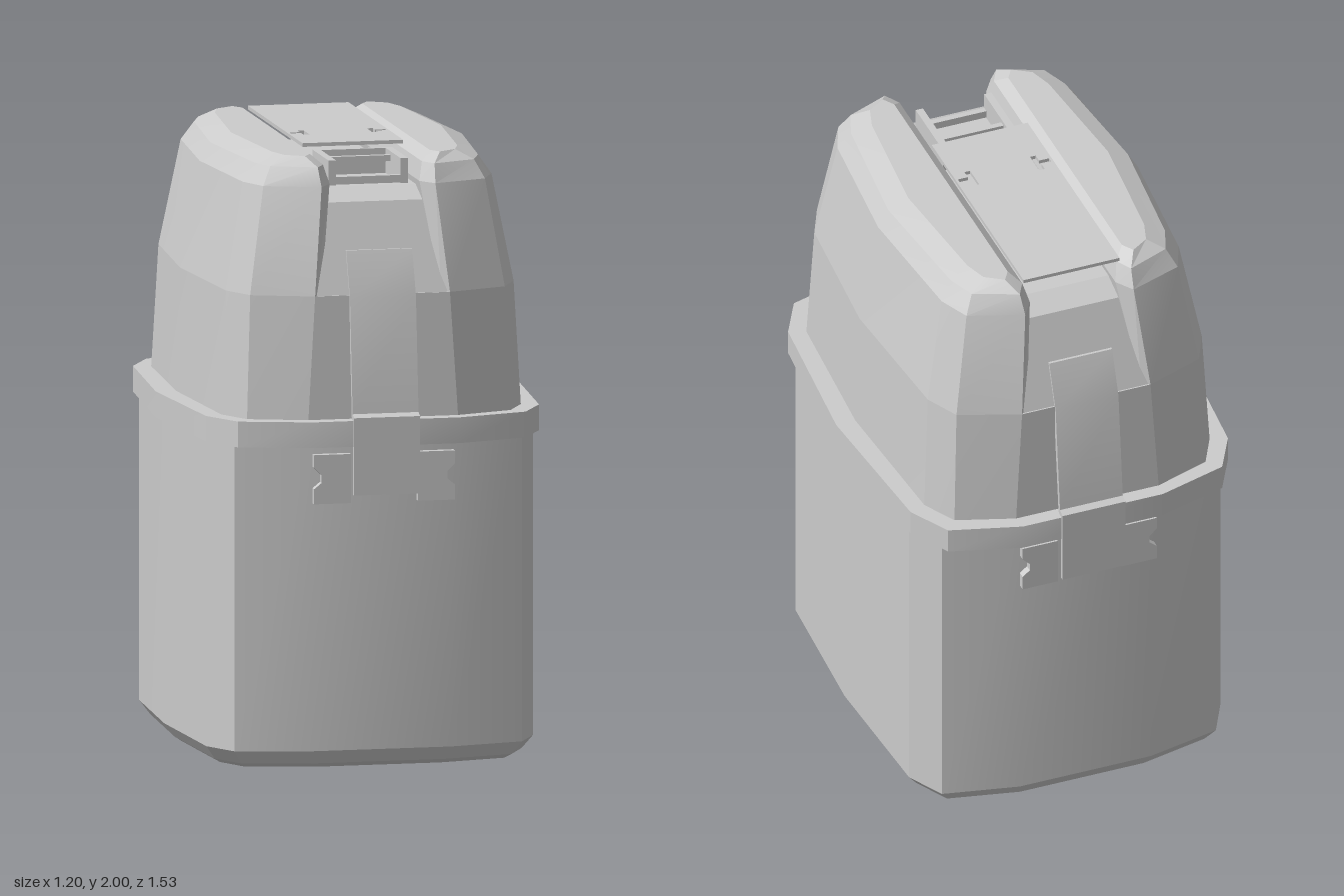
import * as THREE from 'three';
import { toCreasedNormals } from 'three/addons/utils/BufferGeometryUtils.js';

const material = new THREE.MeshStandardMaterial({ color: 0xcccccc, side: THREE.DoubleSide });

function part(name, geometry, parent) {
  const mesh = new THREE.Mesh(toCreasedNormals(geometry, 0.3), material);
  mesh.name = name;
  parent.add(mesh);
  return mesh;
}

// Closed solid through horizontal sections [y, [[x, z], ...]], counter-clockwise from above
function loft(sections) {
  const n = sections[0][1].length;
  const pos = [];
  const index = [];
  for (const [y, pts] of sections) for (const [x, z] of pts) pos.push(x, y, z);
  for (let s = 0; s < sections.length - 1; s++) {
    for (let i = 0; i < n; i++) {
      const a = s * n + i, b = s * n + (i + 1) % n;
      index.push(a, b, b + n, a, b + n, a + n);
    }
  }
  const cap = (s, top) => {
    const [y, pts] = sections[s];
    const c = pos.length / 3;
    const mean = k => pts.reduce((t, p) => t + p[k], 0) / n;
    pos.push(mean(0), y, mean(1));
    for (let i = 0; i < n; i++) {
      const a = s * n + i, b = s * n + (i + 1) % n;
      index.push(c, top ? a : b, top ? b : a);
    }
  };
  cap(0, false);
  cap(sections.length - 1, true);
  const geo = new THREE.BufferGeometry();
  geo.setAttribute('position', new THREE.Float32BufferAttribute(pos, 3));
  geo.setIndex(index);
  geo.computeVertexNormals();
  return geo;
}

// Front-corner-to-side points mirrored to one side, then to the whole outline
const side = q => [...q, ...q.slice(0, -1).reverse().map(([x, z]) => [x, -z])];
const ring = q => [...side(q), ...side(q).map(([x, z]) => [-x, -z])];
const flip = pts => pts.map(([x, z]) => [-x, z]).reverse();
const scaled = (q, sx, sz) => q.map(([x, z]) => [x * sx, z * sz]);
const rect = (x, z) => [[x, z], [x, -z], [-x, -z], [-x, z]];

function shapeOf(pts) {
  return new THREE.Shape(pts.map(([x, y]) => new THREE.Vector2(x, y)));
}

function box(name, w, h, d, x, y, z, parent) {
  part(name, new THREE.BoxGeometry(w, h, d), parent).position.set(x, y, z);
}

export function createModel() {
  const root = new THREE.Group();
  root.name = 'bin';
  const bin = new THREE.Group();
  bin.name = 'binAssembly';
  bin.rotation.y = -0.06;
  root.add(bin);

  // Lower container with a bevelled base
  const body = [[0.23, 0.68], [0.48, 0.625], [0.545, 0.5], [0.573, 0]];
  part('container', loft([
    [0, ring(scaled(body, 0.9, 0.92))],
    [0.015, ring(scaled(body, 0.94, 0.955))],
    [0.06, ring(body)],
    [1.1, ring(body)],
  ]), bin);

  // Projecting rim
  const rim = [[0.245, 0.75], [0.48, 0.68], [0.556, 0.54], [0.602, 0]];
  part('rim', loft([[1.07, ring(rim)], [1.155, ring(rim)]]), bin);

  // Lid: lower wall, then two rounded humps beside a central channel
  const lidBase = [[0.25, 0.7], [0.44, 0.635], [0.5, 0.52], [0.535, 0]];
  const lidMid = [[0.225, 0.69], [0.425, 0.615], [0.48, 0.5], [0.52, 0]];
  part('lidWall', loft([[1.15, ring(lidBase)], [1.56, ring(lidMid)]]), bin);

  const hump = (y, q, xIn, zIn) => [y, [...side(q), [xIn, -zIn], [xIn, zIn]]];
  const humpSections = [
    hump(1.56, lidMid, 0.2, 0.67),
    hump(1.91, [[0.19, 0.63], [0.37, 0.565], [0.415, 0.46], [0.455, 0]], 0.15, 0.57),
    hump(1.97, [[0.195, 0.595], [0.34, 0.535], [0.375, 0.44], [0.42, 0]], 0.165, 0.54),
    hump(2, [[0.225, 0.54], [0.285, 0.5], [0.31, 0.42], [0.35, 0]], 0.2, 0.5),
  ];
  part('leftHump', loft(humpSections), bin);
  part('rightHump', loft(humpSections.map(([y, p]) => [y, flip(p)])), bin);

  part('channelFloor', loft([
    [1.55, rect(0.225, 0.689)],
    [1.85, rect(0.19, 0.575)],
    [1.89, rect(0.18, 0.5)],
  ]), bin);

  // Sliding top plate with a notched slot near each side
  const plate = shapeOf([[-0.168, -0.25], [0.168, -0.25], [0.168, 0.56], [-0.168, 0.56]]);
  for (const s of [-1, 1]) {
    plate.holes.push(new THREE.Path([
      [0.105, -0.07], [0.125, -0.07], [0.125, -0.04], [0.16, -0.04],
      [0.16, -0.02], [0.125, -0.02], [0.125, 0.01], [0.105, 0.01],
    ].map(([x, y]) => new THREE.Vector2(s * x, y))));
  }
  const plateGeo = new THREE.ExtrudeGeometry(plate, { depth: 0.012, bevelEnabled: false });
  part('topPlate', plateGeo.rotateX(-Math.PI / 2).translate(0, 1.984, 0), bin);

  // Latch tray in front of the plate
  const tray = new THREE.Group();
  tray.name = 'latchTray';
  bin.add(tray);
  for (const s of [-1, 1]) box('trayRail', 0.025, 0.085, 0.24, s * 0.12, 1.93, 0.36, tray);
  box('trayBar', 0.22, 0.02, 0.02, 0, 1.95, 0.32, tray);
  box('trayBack', 0.22, 0.085, 0.015, 0, 1.93, 0.25, tray);
  box('trayLip', 0.22, 0.025, 0.02, 0, 1.905, 0.47, tray);

  // Straps and hooks, the same on front and back
  const strapProfile = shapeOf([
    [0.742, 0.91], [0.757, 0.91], [0.757, 1.165], [0.735, 1.175], [0.697, 1.55],
    [0.641, 1.7], [0.62, 1.7], [0.68, 1.55], [0.722, 1.16], [0.742, 1.15],
  ]);
  const hookProfile = shapeOf([
    [0.112, 0.88], [0.235, 0.88], [0.235, 0.93], [0.21, 0.95],
    [0.21, 0.975], [0.235, 1.0], [0.235, 1.042], [0.112, 1.042],
  ]);
  for (const turn of [0, Math.PI]) {
    const clip = new THREE.Group();
    clip.name = turn ? 'backClip' : 'frontClip';
    clip.rotation.y = turn;
    bin.add(clip);
    const strap = new THREE.ExtrudeGeometry(strapProfile, { depth: 0.22, bevelEnabled: false });
    part('strap', strap.rotateY(-Math.PI / 2).translate(0.11, 0, 0), clip);
    for (const angle of [0, Math.PI]) {
      const hook = new THREE.ExtrudeGeometry(hookProfile, { depth: 0.025, bevelEnabled: false });
      hook.translate(0, 0, -0.0125).rotateY(angle).translate(0, 0, 0.708);
      part('hook', hook, clip);
    }
  }
  return root;
}
